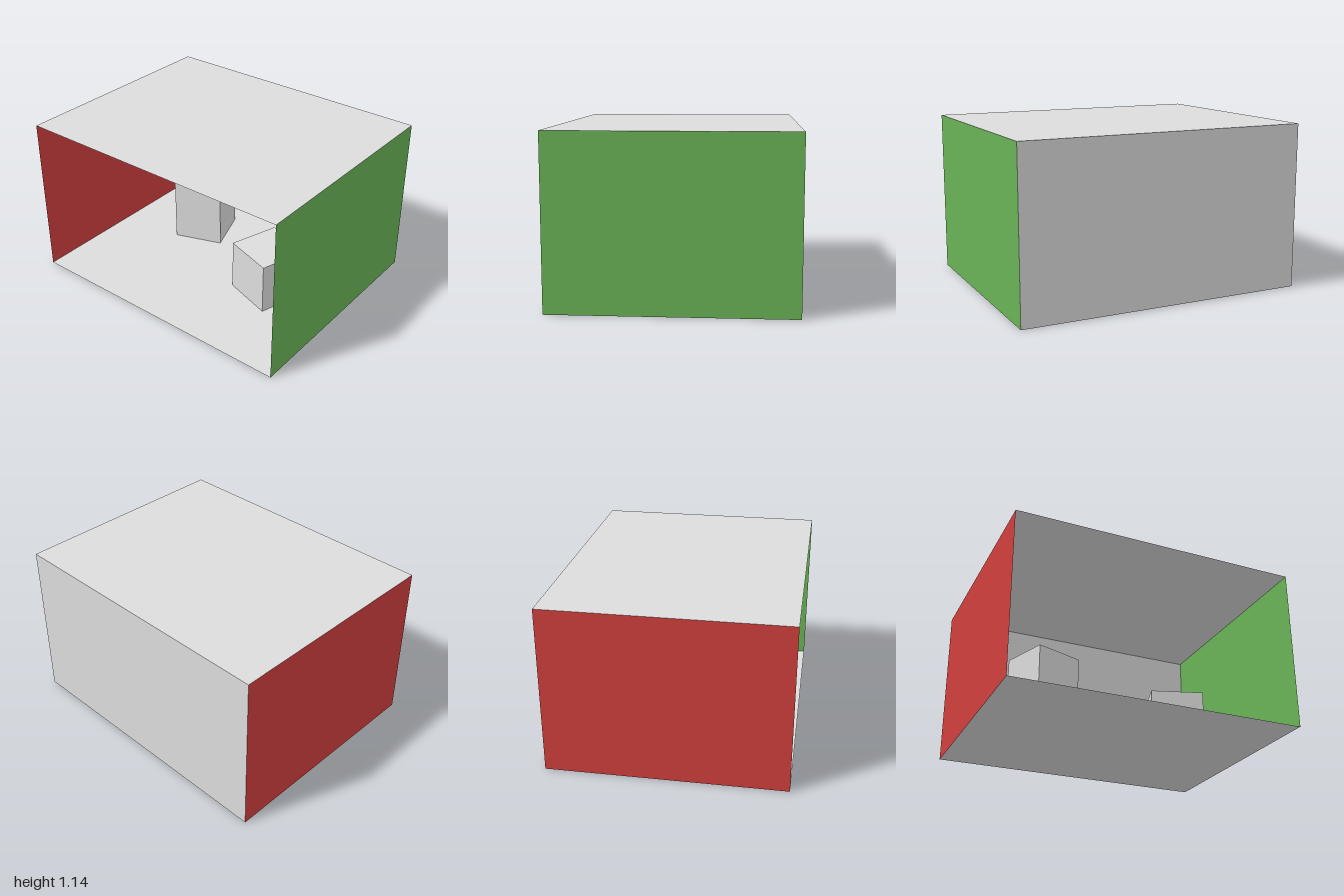
import * as THREE from 'three';

const W = 2, H = 1.136, D = 1.59;

function material(name, color) {
  const m = new THREE.MeshStandardMaterial({ color, side: THREE.DoubleSide });
  m.name = name;
  return m;
}

export function createModel() {
  const group = new THREE.Group();
  group.name = 'room';
  const grey = material('pale grey', 0xdcdcdc);
  const red = material('red', 0xd03f3d);
  const green = material('green', 0x69b355);

  // Thin panels of the open-fronted room, facing inwards
  function panel(name, mat, w, h, position, rotX = 0, rotY = 0) {
    const mesh = new THREE.Mesh(new THREE.PlaneGeometry(w, h), mat);
    mesh.name = name;
    mesh.position.set(...position);
    mesh.rotation.set(rotX, rotY, 0);
    group.add(mesh);
  }
  const q = Math.PI / 2;
  panel('floor', grey, W, D, [0, 0, 0], -q);
  panel('ceiling', grey, W, D, [0, H, 0], q);
  panel('backWall', grey, W, H, [0, H / 2, -D / 2]);
  panel('rightWall', red, D, H, [-W / 2, H / 2, 0], 0, q);
  panel('leftWall', green, D, H, [W / 2, H / 2, 0], 0, -q);

  // Square-based blocks standing turned on the floor
  function block(name, side, height, x, z, turn) {
    const mesh = new THREE.Mesh(new THREE.BoxGeometry(side, height, side), grey);
    mesh.name = name;
    mesh.position.set(x, height / 2, z);
    mesh.rotation.y = turn;
    group.add(mesh);
  }
  block('tallBlock', 0.361, 0.685, -0.41, -0.29, 0.34);
  block('shortBlock', 0.362, 0.365, 0.453, 0.068, -0.31);

  return group;
}
